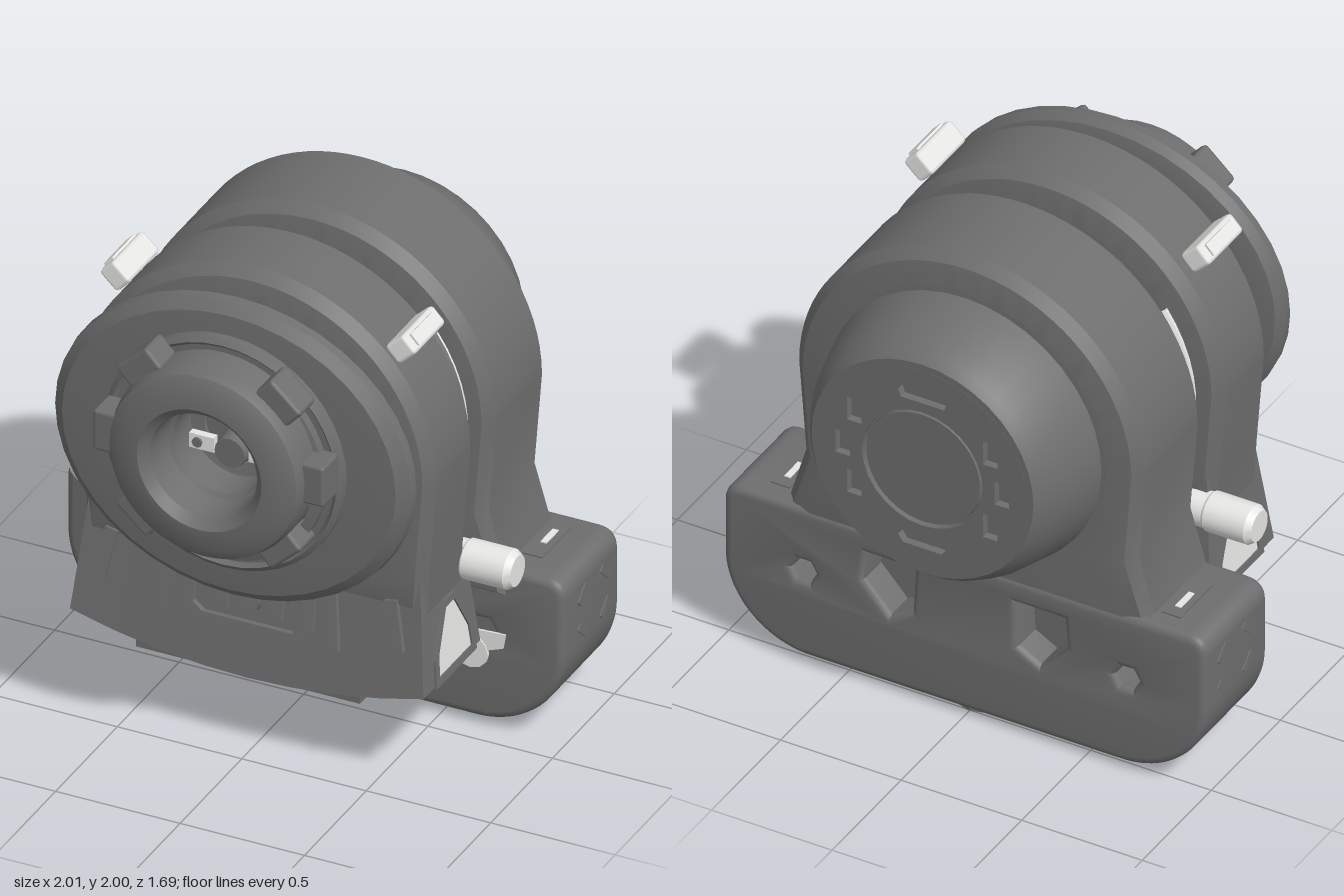
import * as THREE from 'three';
import { toCreasedNormals } from 'three/addons/utils/BufferGeometryUtils.js';
import { RoundedBoxGeometry } from 'three/addons/geometries/RoundedBoxGeometry.js';

export function createModel() {
  const model = new THREE.Group();
  const dark = new THREE.MeshStandardMaterial({ color: 0x6e6e6e });
  dark.name = 'dark grey';
  const light = new THREE.MeshStandardMaterial({ color: 0xe6e6e4, side: THREE.DoubleSide });
  light.name = 'light grey';

  const add = (name, geo, mat, x = 0, y = 0, z = 0, parent = model) => {
    const mesh = new THREE.Mesh(geo, mat);
    mesh.name = name;
    mesh.position.set(x, y, z);
    parent.add(mesh);
    return mesh;
  };
  const box = (name, w, h, d, mat, x, y, z) => add(name, new THREE.BoxGeometry(w, h, d), mat, x, y, z);
  const both = (fn) => [1, -1].forEach(fn);

  // Turned part: profile of [radius, z], running back to front along +z
  const turned = (name, profile, mat, y, start = 0, sweep = Math.PI * 2) => {
    const pts = profile.map(([r, z]) => new THREE.Vector2(r, z));
    const geo = new THREE.LatheGeometry(pts, 40, start, sweep);
    geo.rotateX(Math.PI / 2);
    return add(name, toCreasedNormals(geo, 0.5), mat, 0, y, 0);
  };

  // Slab between two z planes with a softened rim
  const slab = (name, shape, z0, z1, size, thick, mat = dark, segments = 3) => {
    const geo = new THREE.ExtrudeGeometry(shape, {
      depth: z1 - z0 - 2 * thick, bevelEnabled: size > 0, bevelSize: size, bevelOffset: -size,
      bevelThickness: thick, bevelSegments: segments, curveSegments: 20,
    });
    geo.translate(0, 0, z0 + thick);
    return add(name, toCreasedNormals(geo, 0.6), mat);
  };
  const polygon = (pts, Type = THREE.Shape) => new Type(pts.map(([x, y]) => new THREE.Vector2(x, y)));
  const ring = (x, y, r, n, Type = THREE.Path) => polygon(Array.from({ length: n }, (_, i) => {
    const a = (i / n) * Math.PI * 2;
    return [x + r * Math.cos(a), y + r * Math.sin(a)];
  }), Type);

  // Base block with rounded lower corners and rear openings
  const base = new THREE.Shape();
  base.moveTo(-0.66, 0.03);
  base.lineTo(0.66, 0.03);
  base.bezierCurveTo(0.86, 0.04, 1, 0.2, 1, 0.38);
  base.lineTo(1, 0.6);
  base.quadraticCurveTo(1, 0.68, 0.92, 0.68);
  base.lineTo(-0.92, 0.68);
  base.quadraticCurveTo(-1, 0.68, -1, 0.6);
  base.lineTo(-1, 0.38);
  base.bezierCurveTo(-1, 0.2, -0.86, 0.04, -0.66, 0.03);
  both((s) => {
    base.holes.push(polygon([[s * 0.21, 0.57], [s * 0.41, 0.57], [s * 0.42, 0.45], [s * 0.31, 0.33], [s * 0.22, 0.38]], THREE.Path));
    base.holes.push(ring(s * 0.67, 0.4, 0.05, 6));
  });
  slab('base', base, -0.545, -0.09, 0.03, 0.03);
  box('baseCore', 1.6, 0.4, 0.31, dark, 0, 0.4, -0.255);

  // Feet under the base
  both((s) => box('foot', 0.22, 0.06, 0.26, dark, s * 0.5, 0.03, -0.34));
  const pad = ring(0, 0, 0.22, 8, THREE.Shape);
  pad.holes.push(ring(0, 0, 0.06, 12));
  const padMesh = add('centreFoot', new THREE.ExtrudeGeometry(pad, { depth: 0.06, bevelEnabled: false }), dark, 0, 0, -0.34);
  padMesh.rotation.x = -Math.PI / 2;
  padMesh.scale.y = 0.75;

  // Slots on the ends and top of the base, and round bolts on its front
  both((s) => {
    for (const [z, y, a] of [[-0.24, 0.56, 1], [-0.42, 0.56, -1], [-0.24, 0.41, -1], [-0.42, 0.41, 1]]) {
      box('endSlot', 0.012, 0.03, 0.08, dark, s, y, z).rotation.x = a * 0.75;
    }
    box('topSlotFrame', 0.08, 0.012, 0.24, dark, s * 0.81, 0.68, -0.34);
    box('topSlotInsert', 0.025, 0.008, 0.1, light, s * 0.81, 0.686, -0.36);
    add('frontBolt', new THREE.CylinderGeometry(0.07, 0.075, 0.03, 12), light, s * 0.63, 0.31, -0.095).rotation.x = Math.PI / 2;
  });

  // Pale trim plates along the front of the base
  const trims = [
    [[0.46, 0.31], [0.68, 0.32], [0.76, 0.35], [0.77, 0.41], [0.58, 0.4], [0.32, 0.36], [0.33, 0.33]],
    [[-0.78, 0.35], [-0.64, 0.33], [-0.56, 0.36], [-0.7, 0.385], [-0.78, 0.38]],
    [[-0.34, 0.34], [-0.06, 0.235], [0.1, 0.235], [0.1, 0.275], [-0.03, 0.275], [-0.12, 0.34], [-0.3, 0.37]],
  ];
  trims.forEach((pts) => slab('frontTrim', polygon(pts), -0.092, -0.084, 0, 0, light));

  // Rear and middle housings: arched outlines on straight legs
  const arch = (foot, bottom) => {
    const s = new THREE.Shape();
    s.moveTo(foot, bottom);
    s.lineTo(0.69, 0.9);
    s.lineTo(0.72, 1.28);
    s.absarc(0, 1.28, 0.72, 0, Math.PI);
    s.lineTo(-0.69, 0.9);
    s.lineTo(-foot, bottom);
    return s;
  };
  slab('rearHousing', arch(0.79, 0.56), -0.54, -0.05, 0.13, 0.06, dark, 2);
  slab('middleHousing', arch(0.68, 0.72), 0.04, 0.43, 0.13, 0.06, dark, 2);

  // Rear cap with a vented face
  turned('rearCap', [[0, -0.815], [0.43, -0.815], [0.43, -0.845], [0.46, -0.845], [0.485, -0.815], [0.52, -0.74], [0.56, -0.58], [0.575, -0.5]], dark, 1.28);
  const vents = ring(0, 0, 0.435, 32, THREE.Shape);
  both((s) => {
    vents.holes.push(polygon([[-0.09, s * 0.29], [0.09, s * 0.29], [0.1, s * 0.32], [0.08, s * 0.35], [-0.08, s * 0.35], [-0.1, s * 0.32]], THREE.Path));
    for (const y of [-0.16, 0, 0.16]) {
      const x = s * (0.33 - Math.abs(y) * 0.3);
      vents.holes.push(polygon([[x - 0.03, y - 0.05], [x + 0.03, y - 0.05], [x + 0.03, y + 0.05], [x - 0.03, y + 0.05]], THREE.Path));
    }
  });
  vents.holes.push(ring(0, 0, 0.25, 28));
  slab('rearVents', vents, -0.846, -0.81, 0, 0).position.y = 1.28;
  turned('rearDisc', [[0, -0.84], [0.235, -0.84], [0.24, -0.81]], dark, 1.28);

  // Core between the housings, with a pale collar open at the top
  turned('centreCore', [[0.555, -0.1], [0.555, 0.08]], dark, 1.28);
  turned('coreCover', [[0.55, -0.1], [0.575, -0.08], [0.575, 0.06], [0.55, 0.08]], dark, 1.28, Math.PI - 0.95, 1.9);
  turned('collar', [[0.55, -0.07], [0.58, -0.06], [0.655, -0.015], [0.655, -0.005]], light, 1.28, -Math.PI + 0.95, Math.PI * 2 - 1.9);
  turned('collarFront', [[0.655, -0.005], [0.64, 0.02], [0.6, 0.05]], dark, 1.28, -Math.PI + 0.95, Math.PI * 2 - 1.9);
  turned('frontSeal', [[0.5, 0.42], [0.565, 0.44], [0.565, 0.47], [0.5, 0.475]], light, 1.32);
  turned('frontNeck', [[0.55, 0.42], [0.55, 0.52]], dark, 1.32);

  // Broad front flange, a little wider than tall
  turned('flange', [[0.15, 0.49], [0.62, 0.49], [0.69, 0.505], [0.72, 0.535], [0.715, 0.57], [0.67, 0.605], [0.56, 0.615], [0.3, 0.62]], dark, 1.345).scale.y = 0.86;

  // Stepped dial with a deep hollow centre
  turned('dialRing', [[0.48, 0.58], [0.48, 0.645], [0.46, 0.66], [0.445, 0.645], [0.42, 0.645], [0.42, 0.68], [0.38, 0.69]], dark, 1.365);
  turned('dial', [[0.39, 0.6], [0.39, 0.77], [0.375, 0.815], [0.33, 0.84], [0.25, 0.845], [0.215, 0.81],
    [0.205, 0.68], [0.19, 0.67], [0.19, 0.53], [0.14, 0.52], [0.14, 0.505], [0, 0.505]], dark, 1.4);
  both((s) => [0, 0.83, -0.83].forEach((a) => {
    const grip = new THREE.Group();
    grip.name = 'dialGrip';
    grip.position.set(0, 1.41, 0.71);
    grip.rotation.z = s > 0 ? a : Math.PI - a;
    add('gripBlock', new RoundedBoxGeometry(0.1, 0.17, 0.13, 1, 0.015), dark, 0.415, 0, 0, grip);
    model.add(grip);
  }));

  // Small socket and cross bar deep inside the dial
  add('socket', new THREE.CylinderGeometry(0.06, 0.07, 0.1, 16), dark, 0, 1.34, 0.55).rotation.x = Math.PI / 2;
  both((s) => {
    box('socketTab', 0.1, 0.06, 0.03, light, s * 0.12, 1.345, 0.57);
    add('socketScrew', new THREE.CylinderGeometry(0.02, 0.02, 0.02, 8), dark, s * 0.135, 1.345, 0.585).rotation.x = Math.PI / 2;
  });

  // Pedestal that widens downward, its lower edge sagging in the middle
  const ped = new THREE.BoxGeometry(2, 1, 2, 8, 1, 1);
  const p = ped.attributes.position;
  for (let i = 0; i < p.count; i++) {
    const low = p.getY(i) < 0;
    const x = p.getX(i), front = p.getZ(i) > 0;
    const sag = (front ? 0.1 : 0.07) * (1 - x * x);
    p.setXYZ(i, x * (low ? 0.71 : 0.66), low ? 0.42 - sag : 0.92, front ? (low ? 0.46 : 0.39) : (low ? 0 : 0.06));
  }
  ped.computeVertexNormals();
  add('pedestal', toCreasedNormals(ped, 0.4), dark);
  box('pedestalLip', 0.9, 0.07, 0.54, dark, 0, 0.36, 0.18);
  box('pedestalLink', 1.1, 0.28, 0.2, dark, 0, 0.5, -0.02);

  // Raised front panel with ribs and side brackets
  const panel = new THREE.Group();
  panel.name = 'frontPanel';
  panel.position.set(0, 0.63, 0.435);
  panel.rotation.x = -0.14;
  model.add(panel);
  const frame = polygon([[-0.26, 0.1], [-0.26, -0.06], [-0.2, -0.11], [0.2, -0.11], [0.26, -0.06], [0.26, 0.1]]);
  frame.holes.push(polygon([[-0.22, 0.08], [-0.22, -0.05], [-0.18, -0.08], [0.18, -0.08], [0.22, -0.05], [0.22, 0.08]], THREE.Path));
  add('panelFrame', new THREE.ExtrudeGeometry(frame, { depth: 0.025, bevelEnabled: false }), dark, 0, 0, -0.01, panel);
  add('panelBoss', new THREE.CylinderGeometry(0.045, 0.045, 0.03, 6), dark, 0, 0, 0, panel).rotation.x = Math.PI / 2;
  both((s) => {
    add('panelRib', new THREE.BoxGeometry(0.05, 0.13, 0.03), dark, s * 0.11, 0.02, 0, panel);
    add('panelBracket', new THREE.BoxGeometry(0.05, 0.24, 0.03), dark, s * 0.33, 0.01, 0, panel).rotation.z = s * 0.1;
    add('panelCorner', new THREE.BoxGeometry(0.05, 0.2, 0.03), dark, s * 0.58, 0.05, 0, panel).rotation.z = s * 0.2;
  });

  // Triangular side windows, light pins and shoulder clips
  const tri = (Type, k) => polygon([[-0.135, -0.13], [0.135, -0.13], [0.125, -0.04], [0.035, 0.12], [-0.035, 0.12], [-0.125, -0.04]].map(([x, y]) => [x * k, y * k]), Type);
  both((s) => {
    const win = new THREE.Group();
    win.name = 'sideWindow';
    win.position.set(s * 0.691, 0.57, 0.21);
    win.rotation.set(-0.1, s * Math.PI / 2, 0, 'YXZ');
    const rim = tri(THREE.Shape, 1.2);
    rim.holes.push(tri(THREE.Path, 0.97));
    add('windowRim', new THREE.ExtrudeGeometry(rim, { depth: 0.015, bevelEnabled: false }), dark, 0, 0, 0, win);
    add('windowPane', new THREE.ShapeGeometry(tri(THREE.Shape, 1)), light, 0, 0, 0.008, win);
    model.add(win);

    const pin = turned('sidePin', [[0.07, 0.52], [0.07, 0.68], [0.077, 0.69], [0.077, 0.86], [0.06, 0.885], [0, 0.885]], light, 0.785);
    pin.position.z = 0.05;
    pin.rotation.y = s * Math.PI / 2;

    const clip = new THREE.Group();
    clip.name = 'shoulderClip';
    clip.position.set(s * 0.585, 1.815, 0.25);
    clip.rotation.z = -s * 0.82;
    add('clipBody', new RoundedBoxGeometry(0.085, 0.1, 0.25, 1, 0.015), light, 0, -0.015, 0, clip);
    add('clipLatch', new THREE.BoxGeometry(0.05, 0.012, 0.18), light, 0, 0.038, 0, clip);
    model.add(clip);
  });

  return model;
}
